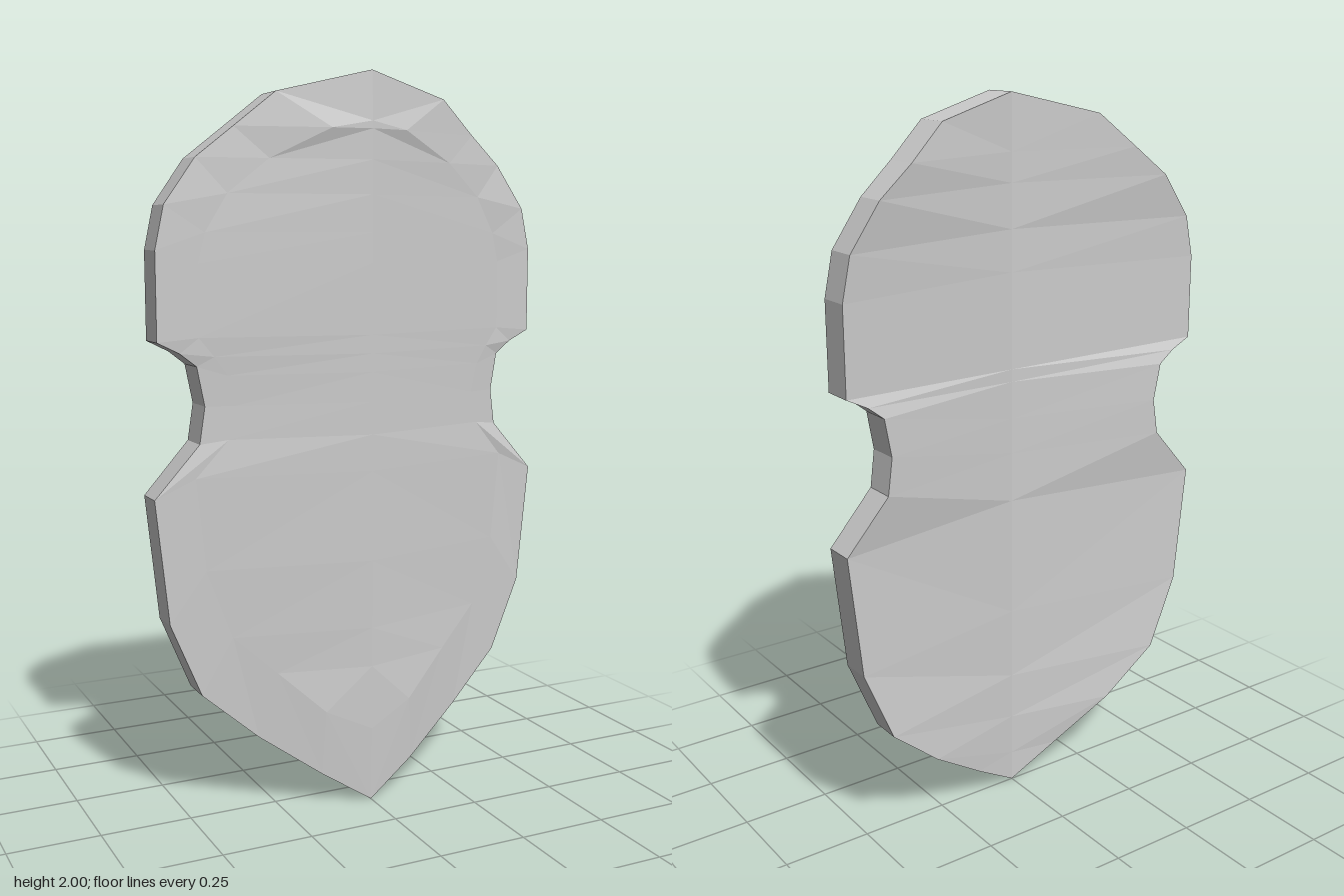
import * as THREE from 'three';

// Half outline from top to tip: outer x, y and the matching inner-panel x, y
const ROWS = [
  [0, 2, 0, 1.87], [0.25, 1.94, 0.11, 1.85], [0.36, 1.85, 0.27, 1.77],
  [0.46, 1.77, 0.38, 1.68], [0.545, 1.65, 0.44, 1.58], [0.57, 1.535, 0.46, 1.5],
  [0.57, 1.3, 0.46, 1.31], [0.51, 1.27, 0.42, 1.26], [0.465, 1.235, 0.385, 1.21],
  [0.445, 1.13, 0.365, 1.13], [0.46, 1.03, 0.385, 1.04], [0.585, 0.89, 0.475, 0.94],
  [0.55, 0.55, 0.45, 0.69], [0.465, 0.345, 0.38, 0.5], [0.31, 0.21, 0.26, 0.39],
  [0.14, 0.09, 0.13, 0.27], [0, 0, 0, 0.21],
];

// Depth across the width, [distance from centre, z]; the two wings differ slightly
const DEPTH = {
  left: {
    front: [[0, 0.1], [0.1, 0.085], [0.25, 0.038], [0.36, 0.005], [0.46, -0.018], [0.6, -0.021]],
    back: [[0, 0], [0.25, -0.06], [0.36, -0.094], [0.46, -0.108], [0.6, -0.109]],
  },
  right: {
    front: [[0, 0.1], [0.1, 0.088], [0.3, 0.034], [0.46, 0.013], [0.6, 0.008]],
    back: [[0, 0], [0.13, -0.022], [0.31, -0.065], [0.46, -0.084], [0.6, -0.081]],
  },
};

function depthAt(table, d) {
  const i = Math.max(1, table.findIndex(p => p[0] >= d));
  const [a, b] = [table[i - 1], table[i]];
  return THREE.MathUtils.lerp(a[1], b[1], (d - a[0]) / (b[0] - a[0]));
}

// Surface between two matching lines of points
function strip(a, b, flip) {
  const positions = [];
  const tri = (p, q, r) => {
    const area = q.clone().sub(p).cross(r.clone().sub(p)).length();
    if (area < 1e-8) return;
    for (const v of flip ? [p, r, q] : [p, q, r]) positions.push(v.x, v.y, v.z);
  };
  for (let i = 0; i < a.length - 1; i++) {
    tri(a[i], a[i + 1], b[i + 1]);
    tri(a[i], b[i + 1], b[i]);
  }
  const geometry = new THREE.BufferGeometry();
  geometry.setAttribute('position', new THREE.Float32BufferAttribute(positions, 3));
  geometry.computeVertexNormals();
  return geometry;
}

export function createModel() {
  const shield = new THREE.Group();
  shield.name = 'shield';
  const material = new THREE.MeshStandardMaterial({ color: 0xcccccc, flatShading: true });

  for (const [side, s] of [['left', 1], ['right', -1]]) {
    const { front, back } = DEPTH[side];
    const line = make => ROWS.map(r => new THREE.Vector3(...make(r)));
    const outerFront = line(([x, y]) => [s * x, y, depthAt(front, x)]);
    const outerBack = line(([x, y]) => [s * x, y, depthAt(back, x)]);
    const inner = line(([, , x, y]) => [s * x, y, depthAt(front, x) + 0.006]);
    const ridge = line(([, , , y]) => [0, y, 0.106]);
    const spine = line(([, y]) => [0, y, 0]);

    const half = new THREE.Group();
    half.name = side + 'Half';
    const add = (name, a, b) => {
      const mesh = new THREE.Mesh(strip(a, b, s < 0), material);
      mesh.name = name;
      half.add(mesh);
    };
    add('frontPanel', ridge, inner);
    add('frontRim', inner, outerFront);
    add('edge', outerFront, outerBack);
    add('backPanel', outerBack, spine);
    shield.add(half);
  }
  return shield;
}
